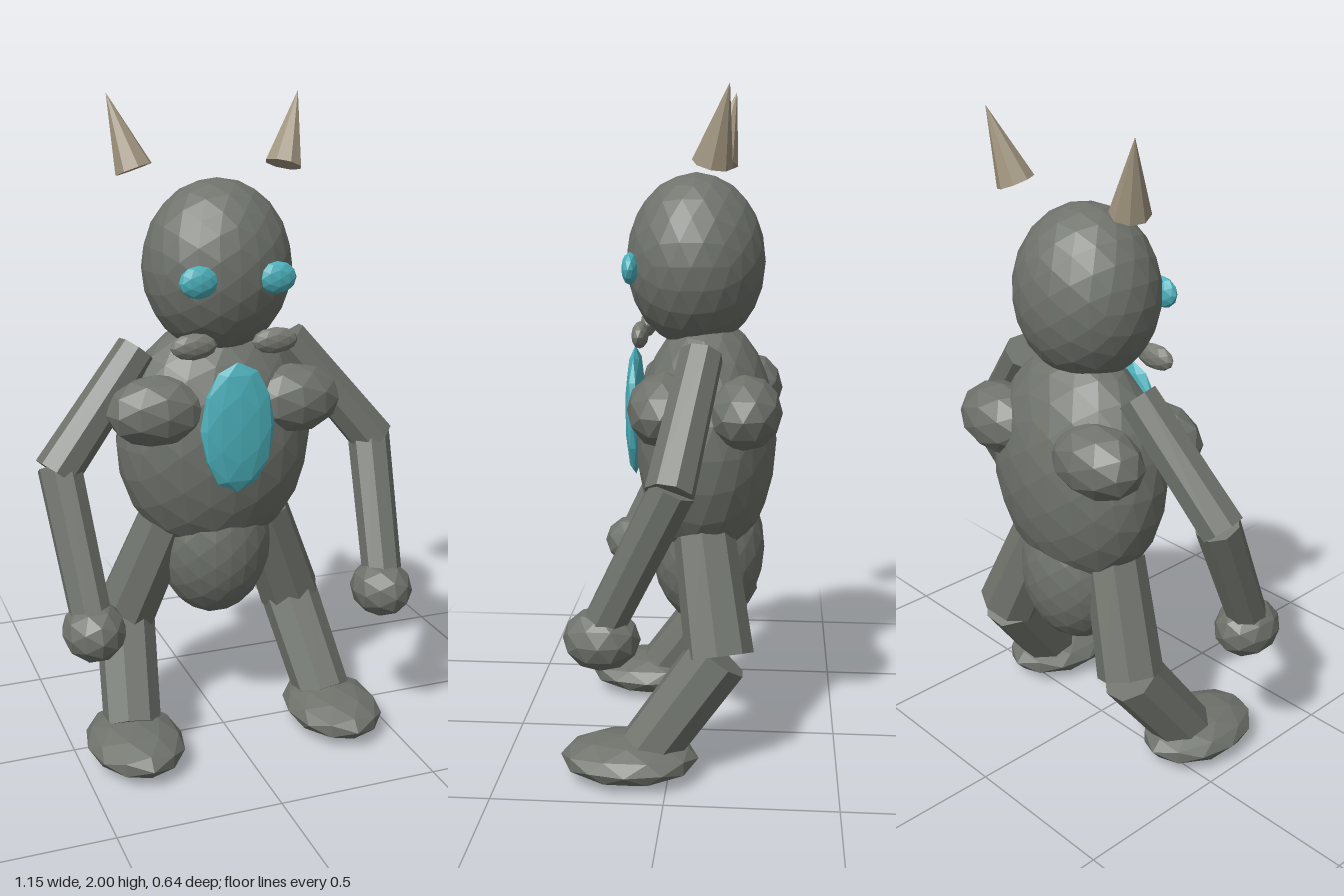
import * as THREE from 'three';

const mat = (name, color) => {
  const m = new THREE.MeshStandardMaterial({ color, flatShading: true });
  m.name = name;
  return m;
};

export function createModel() {
  const model = new THREE.Group();
  const stone = mat('grey stone', 0x6f736c);
  const paleStone = mat('pale stone', 0x7a7c74);
  const glow = mat('turquoise', 0x4cb1bc);
  const horn = mat('horn', 0xa29680);

  // Faceted ellipsoid: centre and radii
  const blob = (name, material, centre, radii, detail = 1) => {
    const mesh = new THREE.Mesh(new THREE.IcosahedronGeometry(1, detail), material);
    mesh.name = name;
    mesh.position.set(...centre);
    mesh.scale.set(...radii);
    model.add(mesh);
  };

  // Eight-sided limb from point a (radius ra) to point b (radius rb)
  const limb = (name, material, a, b, ra, rb) => {
    const from = new THREE.Vector3(...a), to = new THREE.Vector3(...b);
    const dir = to.clone().sub(from);
    const mesh = new THREE.Mesh(new THREE.CylinderGeometry(rb, ra, dir.length(), 8), material);
    mesh.name = name;
    mesh.position.copy(from).add(to).multiplyScalar(0.5);
    mesh.quaternion.setFromUnitVectors(new THREE.Vector3(0, 1, 0), dir.normalize());
    model.add(mesh);
  };

  // Head and trunk
  blob('head', stone, [0, 1.5, -0.058], [0.228, 0.26, 0.207], 3);
  blob('torso', stone, [0, 0.96, -0.092], [0.312, 0.38, 0.213], 3);
  blob('hips', stone, [0, 0.62, -0.098], [0.186, 0.25, 0.175], 3);
  blob('chestGem', glow, [0, 1.045, 0.125], [0.118, 0.2, 0.03]);

  // Mirrored parts
  for (const [side, s] of [['left', 1], ['right', -1]]) {
    // Face
    blob(side + 'Eye', glow, [s * 0.12, 1.487, 0.126], [0.06, 0.048, 0.025]);
    blob(side + 'Jaw', paleStone, [s * 0.127, 1.295, 0.097], [0.073, 0.04, 0.025]);
    limb(side + 'Horn', horn, [s * 0.235, 1.785, -0.117], [s * 0.3, 2, -0.166], 0.058, 0);

    // Chest and shoulder-blade boulders
    blob(side + 'ChestBoulder', stone, [s * 0.213, 1.09, 0.018], [0.16, 0.11, 0.11]);
    blob(side + 'BackBoulder', stone, [s * 0.21, 1.085, -0.212], [0.16, 0.11, 0.11]);

    // Arm
    limb(side + 'UpperArm', stone, [s * 0.244, 1.256, -0.09], [s * 0.52, 0.918, -0.02], 0.063, 0.07);
    limb(side + 'Forearm', stone, [s * 0.507, 0.935, -0.03], [s * 0.472, 0.52, 0.172], 0.067, 0.062);
    blob(side + 'Hand', stone, [s * 0.467, 0.487, 0.174], [0.095, 0.09, 0.11]);

    // Leg
    limb(side + 'Thigh', stone, [s * 0.16, 0.7, -0.095], [s * 0.288, 0.37, -0.148], 0.092, 0.102);
    limb(side + 'Shin', stone, [s * 0.285, 0.37, -0.145], [s * 0.325, 0.09, 0.06], 0.095, 0.09);
    blob(side + 'Foot', stone, [s * 0.333, 0.068, 0.114], [0.15, 0.066, 0.205]);
  }
  return model;
}
